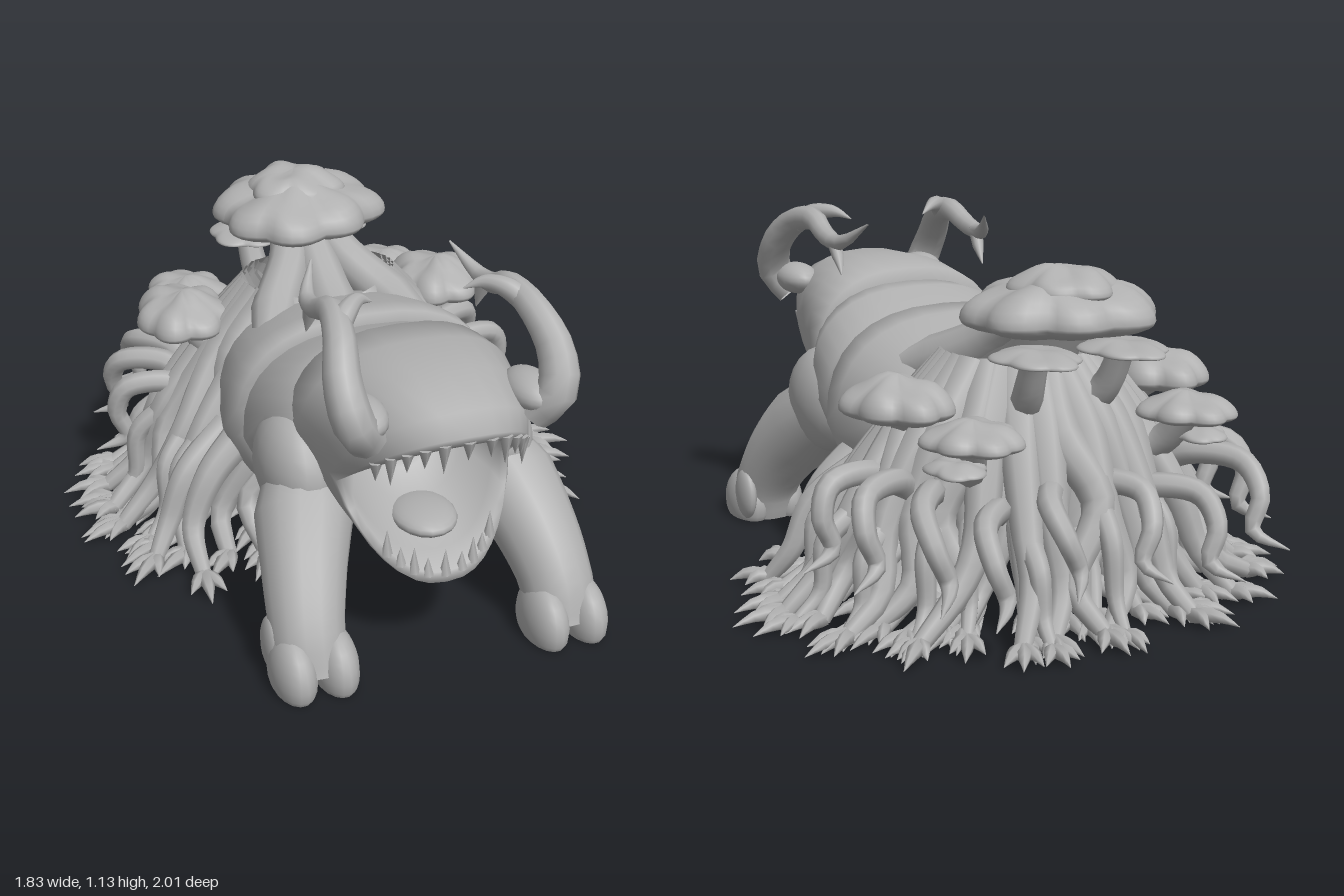
import * as THREE from 'three';

const hide = new THREE.MeshStandardMaterial({ color: 0xb0b0b0, side: THREE.DoubleSide });
hide.name = 'stone grey';

const V = (x, y, z) => new THREE.Vector3(x, y, z);
const lerp = THREE.MathUtils.lerp;
const pw = (v, e) => Math.sign(v) * Math.abs(v) ** e;

let seed = 7;
const rnd = (a, b) => {
  seed = (seed * 16807) % 2147483647;
  return a + (b - a) * (seed / 2147483647);
};

function add(parent, name, geo) {
  const m = new THREE.Mesh(geo, hide);
  m.name = name;
  parent.add(m);
  return m;
}

// Tapered tube through points; radii are spread evenly along its length
function limb(pts, radii, seg = 14, sides = 8) {
  const curve = new THREE.CatmullRomCurve3(pts.map(p => V(...p)));
  const g = new THREE.TubeGeometry(curve, seg, 1, sides);
  const pos = g.attributes.position, v = V(0, 0, 0);
  for (let i = 0; i <= seg; i++) {
    const c = curve.getPointAt(i / seg), f = (i / seg) * (radii.length - 1);
    const k = Math.min(Math.floor(f), radii.length - 2);
    const r = lerp(radii[k], radii[k + 1], f - k);
    for (let j = 0; j <= sides; j++) {
      const n = i * (sides + 1) + j;
      v.fromBufferAttribute(pos, n).sub(c).multiplyScalar(r).add(c);
      pos.setXYZ(n, v.x, Math.max(v.y, 0), v.z);
    }
  }
  return g;
}

// Skin stretched over rings of points
function loft(rings) {
  const n = rings[0].length, idx = [];
  for (let i = 0; i < rings.length - 1; i++) {
    for (let j = 0; j < n; j++) {
      const a = i * n + j, b = i * n + (j + 1) % n;
      idx.push(a, b, a + n, b, b + n, a + n);
    }
  }
  const g = new THREE.BufferGeometry().setFromPoints(rings.flat());
  g.setIndex(idx);
  g.computeVertexNormals();
  return g;
}

// Squared oval from half width, top and bottom; zAt gives depth for each height
function oval(w, top, bottom, zAt, pinch = 0, n = 32) {
  return Array.from({ length: n }, (_, j) => {
    const a = (j / n) * Math.PI * 2, c = pw(Math.cos(a), 0.8), s = pw(Math.sin(a), 0.8);
    return V(w * c * (s < 0 ? 1 + pinch * s : 1),
      (top + bottom) / 2 + s * (top - bottom) / 2, zAt(s));
  });
}
const body = rows => loft(rows.map(([z, w, t, b]) => oval(w, t, b, () => z, 0.3)));

// Ellipsoid resting on or above the ground
function blob(x, y, z, rx, ry, rz) {
  const g = new THREE.SphereGeometry(1, 18, 12).scale(rx, ry, rz).translate(x, y, z);
  const p = g.attributes.position;
  for (let i = 0; i < p.count; i++) p.setY(i, Math.max(0, p.getY(i)));
  return g;
}

// Cloud-like cap with uneven scallops, a lumpy top and a flat underside
function canopy(x, y, z, rx, ry, rz, lobes) {
  const g = new THREE.SphereGeometry(1, 56, 18), p = g.attributes.position;
  for (let i = 0; i < p.count; i++) {
    const px = p.getX(i), h = p.getY(i), pz = p.getZ(i), a = Math.atan2(pz, px);
    const k = 0.86 + 0.14 * Math.abs(Math.sin(a * lobes / 2 + 0.4)) + 0.05 * Math.sin(a * 3 + lobes);
    const lump = 1 + 0.18 * Math.sin(px * 5 + lobes) * Math.sin(pz * 5 + 1);
    p.setXYZ(i, px * k, h < 0 ? h * 0.5 : h * lump, pz * k);
  }
  g.scale(rx, ry, rz).translate(x, y, z);
  g.computeVertexNormals();
  return g;
}

// Depth of the gaping lip line for a height s from -1 to 1
const lipZ = s => 0.63 + (s > 0 ? 0.35 * s : -0.21 * s);

function buildHead() {
  const head = new THREE.Group();
  head.name = 'head';
  // Each row: fraction towards the lips, half width, top, bottom; the last rows fold into the mouth
  const rows = [[0, 0.25, 0.84, 0.42], [0, 0.34, 0.92, 0.36], [0.3, 0.34, 0.945, 0.33],
    [0.65, 0.31, 0.94, 0.29], [0.93, 0.285, 0.89, 0.27], [1, 0.27, 0.83, 0.28],
    [0.98, 0.25, 0.8, 0.31], [0.8, 0.24, 0.79, 0.34], [0.4, 0.19, 0.73, 0.42],
    [0.2, 0.1, 0.64, 0.48], [0.18, 0.005, 0.57, 0.56]];
  add(head, 'skull and maw', loft(rows.map(([t, w, top, bot]) =>
    oval(w, top, bot, s => lerp(0.41, lipZ(s), t), 0.28))));
  add(head, 'tongue', blob(0, 0.4, 0.64, 0.1, 0.04, 0.13).rotateX(0));

  // Teeth along both lips
  const tooth = (a, len, r) => {
    const c = pw(Math.cos(a), 0.8), s = pw(Math.sin(a), 0.8), up = s > 0;
    const g = new THREE.ConeGeometry(r, len, 6);
    if (up) g.rotateX(Math.PI);
    const x = 0.26 * c * (up ? 1 : 1 + 0.28 * s);
    g.translate(x, 0.555 + 0.25 * s + (up ? -len : len) * 0.42, lipZ(s) - 0.015);
    add(head, up ? 'upper tooth' : 'lower tooth', g);
  };
  for (let i = 0; i < 11; i++) tooth(lerp(0.6, Math.PI - 0.6, i / 10), i % 3 ? 0.06 : 0.09, 0.02);
  for (let i = 0; i < 9; i++) tooth(-lerp(0.75, Math.PI - 0.75, i / 8), i % 2 ? 0.06 : 0.085, 0.018);

  // Horns with inward and hanging prongs
  for (const m of [-1, 1]) {
    const horn = (name, pts, radii) =>
      add(head, name, limb(pts.map(([x, y, z]) => [m * x, y, z]), radii, 18, 10));
    add(head, 'brow', blob(m * 0.25, 0.85, 0.8, 0.07, 0.055, 0.11));
    horn('horn', [[0.25, 0.8, 0.84], [0.3, 0.87, 0.88], [0.315, 0.97, 0.83], [0.29, 1.06, 0.73],
      [0.27, 1.085, 0.6], [0.275, 1.04, 0.48], [0.27, 1.03, 0.38], [0.22, 1.1, 0.27]],
      [0.06, 0.06, 0.053, 0.045, 0.038, 0.032, 0.024, 0.003]);
    horn('horn prong', [[0.29, 1.06, 0.7], [0.24, 1.1, 0.65], [0.19, 1.105, 0.6], [0.14, 1.08, 0.57]],
      [0.036, 0.032, 0.022, 0.002]);
    horn('horn spur', [[0.275, 1.04, 0.43], [0.27, 0.98, 0.4], [0.27, 0.92, 0.37]], [0.025, 0.02, 0.002]);
  }
  return head;
}

function buildFrontLeg(m) {
  const leg = new THREE.Group();
  leg.name = m > 0 ? 'left front leg' : 'right front leg';
  add(leg, 'shoulder', blob(m * 0.32, 0.5, 0.39, 0.12, 0.18, 0.2));
  add(leg, 'leg', limb([[m * 0.29, 0.46, 0.4], [m * 0.33, 0.39, 0.51], [m * 0.375, 0.27, 0.65],
    [m * 0.4, 0.14, 0.75], [m * 0.4, 0.03, 0.79]], [0.12, 0.15, 0.13, 0.115, 0.11], 16, 14));
  // Cloven hoof
  for (const s of [-1, 1])
    add(leg, 'toe', blob(m * 0.4 + s * 0.064, 0.05, 0.8, 0.068, 0.12, 0.13));
  add(leg, 'dewclaw', blob(m * 0.5, 0.1, 0.72, 0.03, 0.09, 0.07));
  return leg;
}

// Root with a forked tip, spreading in direction a at its end
function addRoot(parent, pts, radii, a) {
  add(parent, 'root', limb(pts, radii, 16, 8));
  const [x, y, z] = pts[pts.length - 1];
  for (const f of [-0.55, 0.05, 0.6]) {
    const len = f === 0.05 ? rnd(0.12, 0.17) : rnd(0.08, 0.13), dx = Math.sin(a + f) * len, dz = Math.cos(a + f) * len;
    add(parent, 'root tip', limb([[x, y, z], [x + dx * 0.5, y + 0.005, z + dz * 0.45], [x + dx, 0.008, z + dz * 0.8]],
      [radii[radii.length - 1], 0.022, 0.001], 5, 6));
  }
}

function buildRoots() {
  const roots = new THREE.Group();
  roots.name = 'root skirt';
  // Layers: count, reach, starting spread, starting height, thickness
  for (const [count, reach, spread, top, thick] of [[28, 0.93, 1, 0.74, 1], [22, 0.76, 0.95, 0.66, 0.85], [15, 0.5, 0.7, 0.4, 0.9]]) {
    for (let i = 0; i < count; i++) {
      const a = lerp(0.5, Math.PI * 2 - 0.5, i / (count - 1)) + rnd(-0.06, 0.06);
      const r = reach + rnd(-0.12, 0.07);
      const at = (k, y, da) => [Math.sin(a + da) * k * 0.94, y, -0.34 + Math.cos(a + da) * k * 0.7];
      const w = () => rnd(-0.13, 0.13);
      const knee = at(0.58 * r + 0.03, top * rnd(0.4, 0.52), w());
      addRoot(roots, [at(0.22 * spread, top, 0), at(0.4 * spread, top * 0.77, w() * 0.5), knee,
        at(0.7 * r, top * rnd(0.15, 0.25), w()), at(0.84 * r, 0.028, w())],
        [0.08, 0.068, 0.053, 0.042, 0.028].map(t => t * thick), a);
      // Side shoot from the knee of every other root
      if (i % 2) {
        const b = a + rnd(-0.5, 0.5);
        addRoot(roots, [knee, [knee[0] + Math.sin(b) * 0.1, knee[1] * 0.75, knee[2] + Math.cos(b) * 0.08],
          [knee[0] + Math.sin(b) * 0.12, knee[1] * 0.3, knee[2] + Math.cos(b) * 0.11],
          [knee[0] + Math.sin(b) * 0.2, 0.025, knee[2] + Math.cos(b) * 0.17]], [0.038, 0.034, 0.028, 0.02], b);
      }
    }
  }
  for (const m of [-1, 1]) {
    // Forward roots beside the front legs
    addRoot(roots, [[m * 0.38, 0.42, 0.02], [m * 0.5, 0.3, 0.05], [m * 0.57, 0.14, 0.08], [m * 0.57, 0.03, 0.2]],
      [0.06, 0.05, 0.04, 0.026], m * 0.1);
    addRoot(roots, [[m * 0.4, 0.4, -0.08], [m * 0.56, 0.28, -0.02], [m * 0.63, 0.13, 0], [m * 0.69, 0.03, 0.05]],
      [0.06, 0.05, 0.04, 0.026], m * 0.7);
    // Looping vines that arch out at the back and sides
    for (const [x, z, dx, dz, y] of [[0.4, -0.48, 0.17, -0.44, 0.45], [0.2, -0.55, 0.2, -0.38, 0.38],
      [0.42, -0.42, 0.28, -0.25, 0.46], [0.06, -0.55, 0.08, -0.38, 0.42], [0.42, -0.32, 0.32, -0.1, 0.45]]) {
      const p = (f, h, k = 0) => [m * (x + dx * f + k), h, z + dz * f];
      add(roots, 'vine', limb([p(0, y - 0.08), p(0.3, y), p(0.62, y - 0.01, 0.05), p(0.82, y - 0.1, 0.02),
        p(0.85, y - 0.2, -0.02), p(1.05, y - 0.25, 0.02)], [0.045, 0.04, 0.038, 0.034, 0.028, 0.002], 22, 8));
    }
  }
  return roots;
}

export function createModel() {
  const model = new THREE.Group();
  model.name = 'horned root beast';

  // Overlapping hide plates of neck and torso
  add(model, 'neck', body([[0.08, 0.4, 0.78, 0.15], [0.2, 0.42, 0.82, 0.17], [0.34, 0.4, 0.87, 0.27],
    [0.45, 0.34, 0.88, 0.34], [0.46, 0.2, 0.8, 0.4]]));
  add(model, 'torso', body([[-0.5, 0.05, 0.5, 0.35], [-0.45, 0.25, 0.62, 0.25], [-0.3, 0.35, 0.73, 0.16],
    [-0.15, 0.41, 0.78, 0.12], [0.05, 0.45, 0.83, 0.1], [0.15, 0.435, 0.84, 0.13], [0.15, 0.38, 0.78, 0.2]]));
  model.add(buildHead(), buildRoots());

  // Central tree, flaring into the roots
  add(model, 'tree trunk', limb([[0, 0.4, -0.32], [0, 0.56, -0.35], [0, 0.72, -0.4], [0, 0.82, -0.48], [0, 0.93, -0.55]],
    [0.34, 0.32, 0.19, 0.11, 0.11], 14, 16));
  for (const x of [-0.16, 0, 0.16])
    add(model, 'trunk buttress', limb([[x * 1.8, 0.66, 0], [x * 1.2, 0.74, -0.2], [x * 0.6, 0.83, -0.36], [x * 0.3, 0.92, -0.52]],
      [0.04, 0.08, 0.07, 0.06], 12, 10));
  add(model, 'main canopy', canopy(0, 0.92, -0.57, 0.3, 0.12, 0.28, 8));
  add(model, 'canopy crown', canopy(0, 1.0, -0.6, 0.17, 0.07, 0.17, 6));

  // Smaller caps and the boughs that carry them
  for (const m of [-1, 1]) {
    model.add(buildFrontLeg(m));
    add(model, 'lower tier', canopy(m * 0.15, 0.82, -0.69, 0.13, 0.03, 0.16, 6));
    add(model, 'side canopy', canopy(m * 0.455, 0.66, -0.41, 0.165, 0.09, 0.2, 7));
    add(model, 'rear canopy', canopy(m * 0.37, 0.61, -0.71, 0.15, 0.06, 0.16, 7));
    add(model, 'small canopy', canopy(m * 0.42, 0.53, -0.7, 0.09, 0.03, 0.11, 5));
    add(model, 'side bough', limb([[m * 0.25, 0.5, -0.15], [m * 0.36, 0.58, -0.3], [m * 0.45, 0.66, -0.42]],
      [0.1, 0.07, 0.05]));
    add(model, 'rear bough', limb([[m * 0.2, 0.45, -0.45], [m * 0.33, 0.5, -0.62], [m * 0.37, 0.61, -0.72]],
      [0.08, 0.05, 0.04]));
    add(model, 'tier bough', limb([[m * 0.05, 0.6, -0.45], [m * 0.13, 0.68, -0.6], [m * 0.15, 0.82, -0.68]],
      [0.07, 0.05, 0.04]));
  }
  return model;
}
